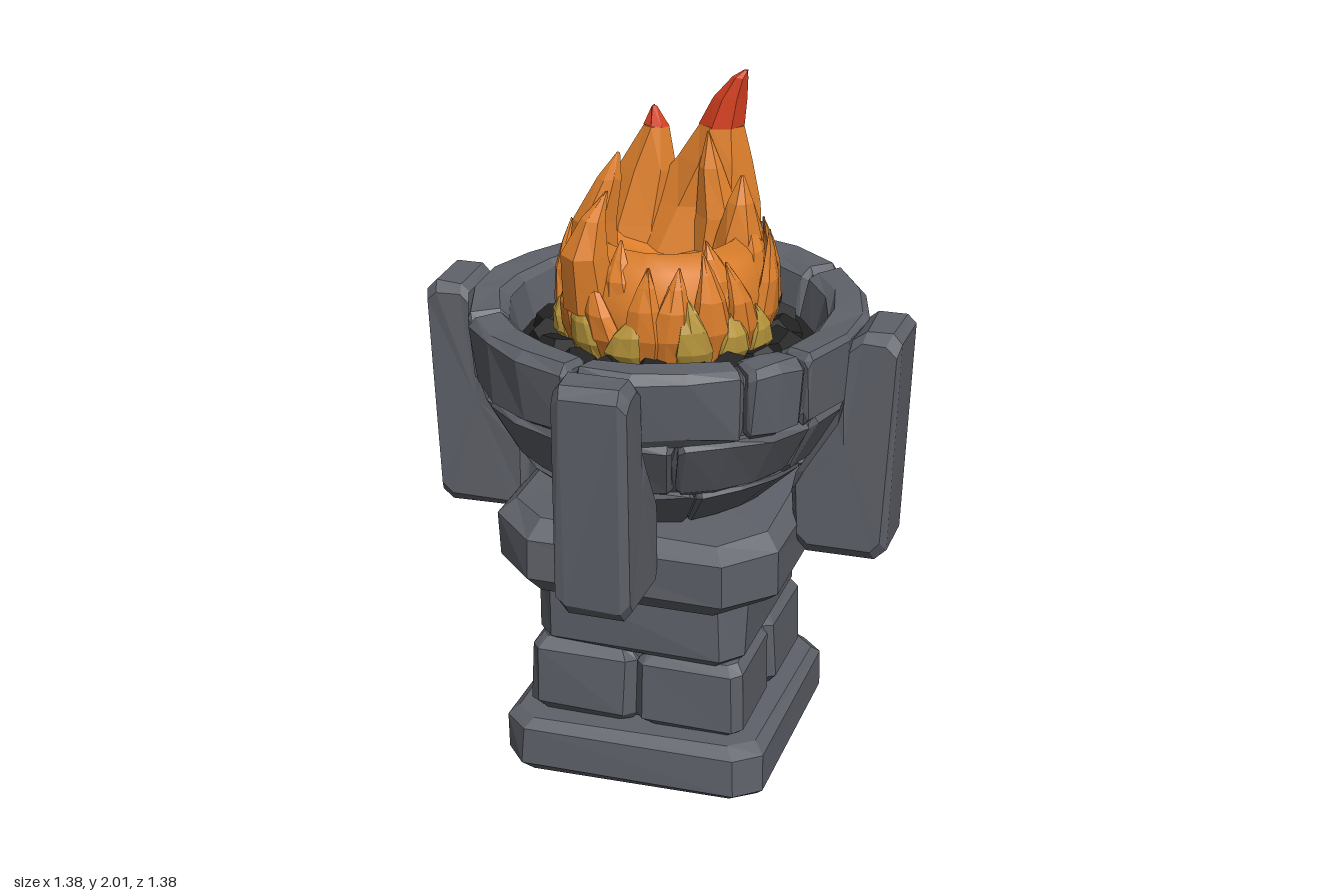
import * as THREE from 'three';

const mat = (name, color) => {
  const m = new THREE.MeshStandardMaterial({ color });
  m.name = name;
  return m;
};

// small seeded generator for hand-cut irregularity
let seed = 7;
const rnd = (a = 0, b = 1) => {
  seed = (seed * 16807) % 2147483647;
  return a + (b - a) * (seed / 2147483647);
};

const V = (x, y, z) => new THREE.Vector3(x, y, z);
const centre = pts => pts.reduce((s, p) => s.add(p), pts[0].clone().multiplyScalar(0)).divideScalar(pts.length);

// closed, flat-shaded skin over a list of equal rings
function loft(rings, material, name, rough = 0) {
  rings.forEach(r => r.forEach(p => p.add(V(rnd(-rough, rough), rnd(-rough, rough), rnd(-rough, rough)))));
  const tris = [], n = rings[0].length, last = rings.length - 1;
  const c0 = centre(rings[0]), c1 = centre(rings[last]);
  for (let j = 0; j < n; j++) {
    const k = (j + 1) % n;
    for (let i = 0; i < last; i++) {
      const a = rings[i], b = rings[i + 1];
      tris.push([a[j], a[k], b[k]], [a[j], b[k], b[j]]);
    }
    tris.push([c0, rings[0][k], rings[0][j]], [c1, rings[last][j], rings[last][k]]);
  }
  // make the faces point outward
  const volume = tris.reduce((s, [a, b, c]) =>
    s + a.clone().sub(c0).dot(b.clone().sub(c0).cross(c.clone().sub(c0))), 0);
  if (volume < 0) tris.forEach(t => t.reverse());
  const g = new THREE.BufferGeometry().setFromPoints(tris.flat());
  g.computeVertexNormals();
  return named(new THREE.Mesh(g, material), name);
}

const named = (o, name) => { o.name = name; return o; };

// cut every corner of a 2D outline
const chamfer = (pts, d) => pts.flatMap((p, i) => {
  const q = pts[(i + pts.length - 1) % pts.length], r = pts[(i + 1) % pts.length];
  return [q, r].map(o => p.clone().add(o.clone().sub(p).setLength(d)));
});
const outline = list => list.map(([x, y]) => new THREE.Vector2(x, y));
const inset = (pts, d) => {
  const c = centre(pts);
  return pts.map(p => p.clone().add(c.clone().sub(p).setLength(d)));
};

// bevelled masonry block
function block(x0, x1, y0, y1, z0, z1, cut, bevel, material, name) {
  const plan = chamfer(outline([[x0, z0], [x1, z0], [x1, z1], [x0, z1]]), cut);
  const small = inset(plan, bevel * 1.2);
  const rings = [[small, y0], [plan, y0 + bevel], [plan, y1 - bevel], [small, y1]]
    .map(([p, y]) => p.map(v => V(v.x, y, v.y)));
  return loft(rings, material, name, 0.006);
}

// curved stone of the bowl, swept from angle a0 to a1 (degrees)
function bowlStone(section, a0, a1, material) {
  const shape = chamfer(outline(section), 0.022), gap = 0.7, bev = 2.2;
  const steps = Math.max(2, Math.round((a1 - a0) / 18));
  const angles = [a0 + gap];
  for (let i = 0; i <= steps; i++) angles.push(a0 + bev + (a1 - a0 - 2 * bev) * i / steps);
  angles.push(a1 - gap);
  const rings = angles.map((deg, i) => {
    const a = deg * Math.PI / 180;
    const s = i === 0 || i === angles.length - 1 ? inset(shape, 0.02) : shape;
    return s.map(p => V(p.x * Math.cos(a), p.y, p.x * Math.sin(a)));
  });
  return loft(rings, material, 'bowlStone', 0.006);
}

// flame lick through sections [x, y, z, half width, half depth], turned by yaw
function lick(sections, yaw, material, name) {
  const rings = sections.map(([x, y, z, w, d]) => Array.from({ length: 7 }, (_, j) => {
    const t = j / 7 * Math.PI * 2;
    return V(Math.cos(t) * w, 0, Math.sin(t) * d).applyAxisAngle(V(0, 1, 0), yaw).add(V(x, y, z));
  }));
  return loft(rings, material, name, 0.003);
}

// lick standing on a circle, swelling then curling to its tip
function ringLick(a, r, y0, tip, w, d, curl, drift, material, name) {
  const sections = [0, 0.3, 0.6, 0.82, 1].map((t, i) => {
    const b = a + drift * t * t;
    const q = r + 0.03 * Math.sin(t * 3) + curl * t * t;
    const s = [0.85, 1, 0.72, 0.36, 0.04][i];
    return [Math.cos(b) * q, y0 + (tip - y0) * t, Math.sin(b) * q, w * s, d * s];
  });
  return lick(sections, Math.PI / 2 - a, material, name);
}

export function createModel() {
  seed = 7;
  const stone = mat('stone grey', 0x5f626a);
  const coal = mat('coal black', 0x222222);
  const orange = mat('flame orange', 0xe0812c);
  const yellow = mat('flame yellow', 0xb8963c);
  const red = mat('flame red', 0xd6401f);
  const model = named(new THREE.Group(), 'stoneBrazier');

  // pedestal
  const pedestal = named(new THREE.Group(), 'pedestal');
  pedestal.add(block(-0.385, 0.385, 0, 0.17, -0.385, 0.385, 0.07, 0.03, stone, 'foot'));
  for (const sx of [-1, 1]) for (const sz of [-1, 1]) {
    const x = sx * 0.158, z = sz * 0.158;
    pedestal.add(block(x - 0.158, x + 0.158, 0.165, 0.4, z - 0.158, z + 0.158, 0.03, 0.03, stone, 'pedestalBlock'));
  }
  pedestal.add(block(-0.27, 0.27, 0.17, 0.4, -0.27, 0.27, 0.05, 0.01, stone, 'pedestalCore'));
  pedestal.add(block(-0.308, 0.308, 0.39, 0.61, -0.308, 0.308, 0.06, 0.025, stone, 'upperBlock'));
  pedestal.add(block(-0.412, 0.412, 0.6, 0.815, -0.412, 0.412, 0.13, 0.045, stone, 'capital'));
  model.add(pedestal);

  // bowl: three courses of curved stones over a backing shell
  const bowl = named(new THREE.Group(), 'bowl');
  const courses = [
    { section: [[0.27, 0.8], [0.44, 0.965], [0.34, 0.965], [0.2, 0.8]], seams: [10, 62, 100, 150, 195, 240, 285, 330, 370] },
    { section: [[0.435, 0.96], [0.54, 1.155], [0.42, 1.155], [0.34, 0.96]], seams: [25, 70, 105, 140, 190, 235, 260, 305, 345, 385] },
    { section: [[0.54, 1.15], [0.565, 1.365], [0.45, 1.365], [0.4, 1.15]], seams: [31, 50, 100, 150, 225, 315, 391] },
  ];
  for (const { section, seams } of courses)
    for (let i = 1; i < seams.length; i++) bowl.add(bowlStone(section, seams[i - 1], seams[i], stone));
  const shell = new THREE.LatheGeometry(outline([[0, 0.79], [0.25, 0.8], [0.41, 0.965], [0.5, 1.15], [0.525, 1.33],
    [0.47, 1.345], [0.42, 1.2], [0, 1.2]]), 24);
  bowl.add(named(new THREE.Mesh(shell, stone), 'bowlShell'));
  model.add(bowl);

  // four buttresses hugging the bowl
  const profile = chamfer(outline([[0.555, 1.37], [0.69, 1.37], [0.662, 0.69], [0.405, 0.69], [0.385, 0.9], [0.53, 1.15]]), 0.03);
  for (let i = 0; i < 4; i++) {
    const rings = [[-0.104, 0.03], [-0.08, 0], [0.08, 0], [0.104, 0.03]]
      .map(([t, d]) => (d ? inset(profile, d) : profile).map(p => V(p.x, p.y, t)));
    const arm = loft(rings, stone, 'buttress', 0.004);
    arm.rotation.y = i * Math.PI / 2;
    model.add(arm);
  }

  // coal bed
  const coals = named(new THREE.Group(), 'coals');
  const bed = new THREE.CylinderGeometry(0.42, 0.4, 0.05, 20);
  bed.translate(0, 1.21, 0);
  coals.add(named(new THREE.Mesh(bed, coal), 'coalBed'));
  for (let i = 0; i < 18; i++) {
    const a = i / 18 * Math.PI * 2, r = rnd(0.31, 0.35);
    const lump = named(new THREE.Mesh(new THREE.DodecahedronGeometry(rnd(0.065, 0.085)), coal), 'coalLump');
    lump.position.set(Math.cos(a) * r, 1.24, Math.sin(a) * r);
    lump.rotation.set(rnd(0, 3), rnd(0, 3), rnd(0, 3));
    coals.add(lump);
  }
  model.add(coals);

  // flame body with a hollow middle
  const fire = named(new THREE.Group(), 'fire');
  const core = new THREE.LatheGeometry(outline([[0.25, 1.24], [0.285, 1.33], [0.285, 1.43], [0.25, 1.53], [0.2, 1.57],
    [0.14, 1.52], [0, 1.48]]), 18);
  fire.add(named(new THREE.Mesh(core, orange), 'flameCore'));

  // tall rear licks with red tips
  const tall = [[0, 1.3, -0.12, 0.25, 0.16], [0.01, 1.48, -0.14, 0.22, 0.13], [0.05, 1.62, -0.15, 0.17, 0.1],
    [0.09, 1.74, -0.145, 0.105, 0.08], [0.11, 1.84, -0.14, 0.064, 0.058]];
  const tallTip = [tall[4], [0.135, 1.92, -0.135, 0.045, 0.04], [0.165, 1.98, -0.13, 0.022, 0.022], [0.18, 2, -0.13, 0.004, 0.004]];
  const second = [[-0.12, 1.35, -0.1, 0.13, 0.12], [-0.13, 1.55, -0.12, 0.11, 0.09], [-0.1, 1.7, -0.13, 0.085, 0.06],
    [-0.075, 1.82, -0.13, 0.035, 0.03]];
  const secondTip = [second[3], [-0.08, 1.875, -0.13, 0.006, 0.006]];
  fire.add(lick(tall, 0, orange, 'tallLick'), lick(tallTip, 0, red, 'tallTip'),
    lick(second, 0, orange, 'secondLick'), lick(secondTip, 0, red, 'secondTip'));

  // side licks curling inward
  const side = [
    [[-0.2, 1.4, 0.05], [-0.19, 1.6, 0.06], [-0.15, 1.72, 0.05], [-0.13, 1.79, 0.04]],
    [[-0.15, 1.4, 0.2], [-0.16, 1.56, 0.23], [-0.14, 1.66, 0.22], [-0.11, 1.73, 0.19]],
    [[0.17, 1.4, -0.03], [0.19, 1.56, -0.04], [0.2, 1.66, -0.03], [0.2, 1.73, -0.04]],
    [[0.1, 1.4, -0.08], [0.12, 1.6, -0.08], [0.1, 1.74, -0.07], [0.09, 1.83, -0.08]],
  ];
  side.forEach(path => fire.add(lick(path.map((p, i) => [...p, [0.08, 0.065, 0.035, 0.004][i], [0.08, 0.06, 0.03, 0.004][i]]),
    0, orange, 'sideLick')));

  // rings of shorter licks, and yellow ones at the foot
  for (let i = 0; i < 16; i++) {
    const a = (i + rnd(-0.2, 0.2)) / 16 * Math.PI * 2;
    fire.add(ringLick(a, 0.255, 1.27, rnd(1.5, 1.64), 0.06, 0.035, rnd(0, 0.04), rnd(-0.25, 0.25), orange, 'outerLick'));
    if (i % 4 !== 3) fire.add(ringLick(a + 0.2, 0.28, 1.26, rnd(1.4, 1.48), 0.055, 0.018, 0, rnd(-0.2, 0.2), yellow, 'yellowLick'));
  }
  for (let i = 0; i < 11; i++) {
    const a = (i + rnd(-0.2, 0.2)) / 11 * Math.PI * 2;
    fire.add(ringLick(a, 0.215, 1.35, 1.62 - 0.05 * Math.sin(a) + rnd(-0.03, 0.05), 0.065, 0.04, -0.01, rnd(-0.3, 0.3), orange, 'innerLick'));
  }
  model.add(fire);
  return model;
}
